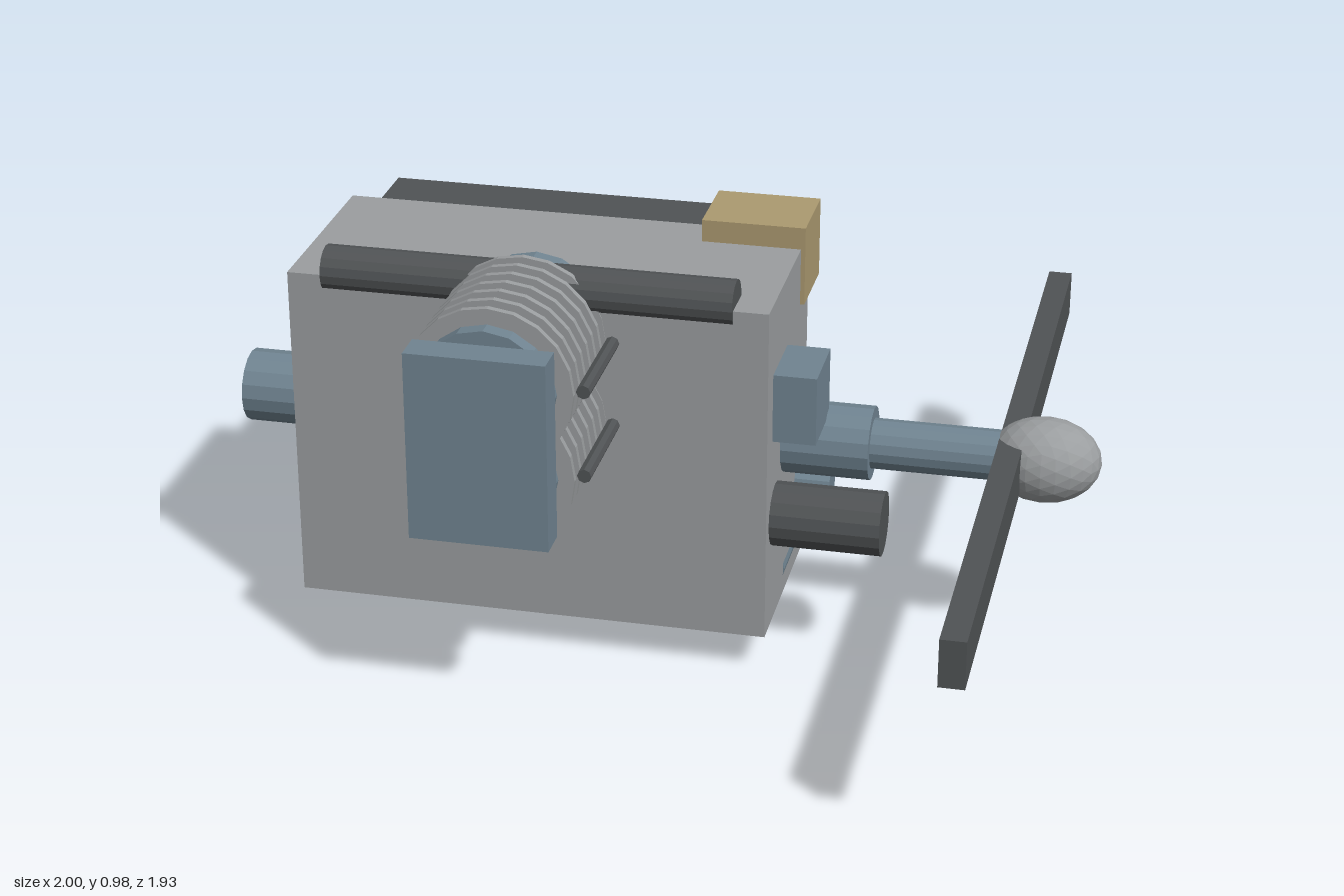
import * as THREE from 'three';

export function createModel() {
  const model = new THREE.Group();
  const mat = (name, color) => {
    const m = new THREE.MeshStandardMaterial({ color, flatShading: true });
    m.name = name;
    return m;
  };
  const grey = mat('light grey metal', 0x9b9ea0);
  const blue = mat('blue steel', 0x708491);
  const dark = mat('dark metal', 0x505355);
  const brass = mat('brass', 0xac9a70);

  const add = (name, geometry, material, parent = model) => {
    const mesh = new THREE.Mesh(geometry, material);
    mesh.name = name;
    parent.add(mesh);
    return mesh;
  };
  // Box given by its minimum and maximum corners
  const box = (name, material, [x0, y0, z0], [x1, y1, z1], parent) =>
    add(name, new THREE.BoxGeometry(x1 - x0, y1 - y0, z1 - z0)
      .translate((x0 + x1) / 2, (y0 + y1) / 2, (z0 + z1) / 2), material, parent);
  // Cylinder running along x, centred on (y, z)
  const rodX = (name, material, r, x0, x1, y, z, sides = 16) =>
    add(name, new THREE.CylinderGeometry(r, r, x1 - x0, sides)
      .rotateZ(-Math.PI / 2).translate((x0 + x1) / 2, y, z), material);
  // Cylinder running along z, centred on (x, y)
  const rodZ = (name, material, r, z0, z1, x, y, parent, sides = 16) =>
    add(name, new THREE.CylinderGeometry(r, r, z1 - z0, sides)
      .rotateX(Math.PI / 2).translate(x, y, (z0 + z1) / 2), material, parent);

  // Crankcase, rear housing and fuel block
  box('crankcase', grey, [-0.815, 0.095, -0.24], [0.28, 0.893, 0.24]);
  box('rearHousing', dark, [-0.78, 0.14, -0.49], [0.18, 0.847, -0.235]);
  box('brassBlock', brass, [0.05, 0.758, -0.33], [0.29, 0.945, -0.14]);

  // A bank of two finned cylinders with a shared head; dir is the outward z direction
  const bank = (name, ys, dir, zStart, headY) => {
    const g = new THREE.Group();
    g.name = name;
    model.add(g);
    const span = (a, b) => [Math.min(a, b), Math.max(a, b)];
    for (const y of ys) {
      const [a, b] = span(zStart, zStart + dir * 0.45);
      rodZ('cylinderBarrel', blue, 0.15, a, b, -0.27, y, g);
      for (let i = 0; i < 7; i++) {
        const z = zStart + dir * (0.115 + i * 0.0485) - (dir < 0 ? -0.07 : 0);
        rodZ('coolingFin', grey, 0.186, z - 0.0075, z + 0.0075, -0.27, y, g, 20);
      }
    }
    const [h0, h1] = span(zStart + dir * 0.45, zStart + dir * 0.525);
    box('cylinderHead', blue, [-0.425, headY[0], h0], [-0.115, headY[1], h1], g);
  };
  bank('frontCylinderBank', [0.793, 0.592], 1, 0.12, [0.475, 0.91]);
  bank('rearCylinderBank', [0.19, 0.392], -1, 0.12, [0.075, 0.51]);

  // Pushrods beside the front bank
  for (const y of [0.792, 0.593]) rodZ('pushrod', dark, 0.016, 0.22, 0.505, -0.07, y, model, 8);

  // Manifold pipe, through shaft, side motor, sump cylinder and side box
  rodX('manifoldPipe', dark, 0.053, -0.735, 0.2, 0.896, 0.2);
  rodX('accessoryShaft', blue, 0.043, -0.905, 0.363, 0.306, -0.148, 12);
  rodX('sideMotor', dark, 0.074, 0.25, 0.53, 0.36, 0.135);
  rodZ('sumpCylinder', blue, 0.075, -0.215, 0.02, 0.208, 0.155, model);
  box('sideBox', blue, [0.26, 0.56, 0.01], [0.378, 0.722, 0.18]);

  // Drive line
  rodX('rearShaft', blue, 0.085, -1, -0.8, 0.493, 0);
  rodX('shaftHousing', blue, 0.085, 0.26, 0.48, 0.493, 0);
  rodX('driveShaft', blue, 0.058, 0.47, 0.8, 0.493, 0);

  // Propeller and hub
  box('propeller', dark, [0.768, 0.437, -0.968], [0.824, 0.546, 0.965]);
  add('hub', new THREE.IcosahedronGeometry(1, 3).scale(0.128, 0.098, 0.098)
    .translate(0.87, 0.493, 0), grey);

  return model;
}
